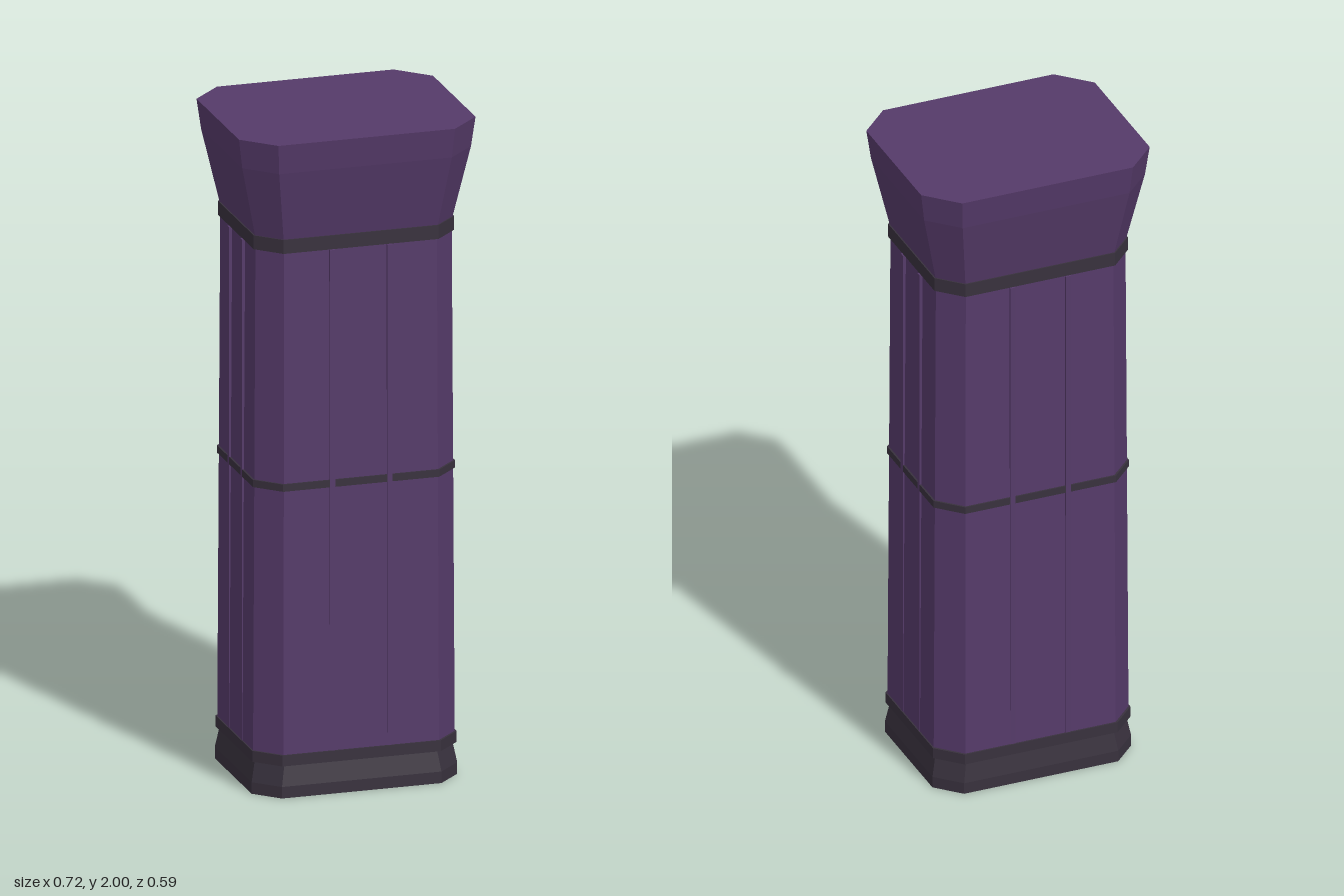
import * as THREE from 'three';

const purple = new THREE.MeshStandardMaterial({ color: 0x553a69 });
purple.name = 'purple stone';
const dark = new THREE.MeshStandardMaterial({ color: 0x38313d });
dark.name = 'dark trim';

// Corners of a chamfered rectangle, ordered counter-clockwise seen from above
function ring([y, hx, hz, c]) {
  return [
    [hx, hz - c], [hx, c - hz], [hx - c, -hz], [c - hx, -hz],
    [-hx, c - hz], [-hx, hz - c], [c - hx, hz], [hx - c, hz],
  ].map(([x, z]) => [x, y, z]);
}

// Capped solid through rings of [height, half width, half depth, chamfer]
function loft(name, material, sections) {
  const rings = sections.map(ring);
  const pos = [];
  const tri = (a, b, c) => pos.push(...a, ...b, ...c);
  for (let k = 0; k < rings.length - 1; k++) {
    const lo = rings[k], hi = rings[k + 1];
    for (let i = 0; i < 8; i++) {
      const j = (i + 1) % 8;
      tri(lo[i], lo[j], hi[j]);
      tri(lo[i], hi[j], hi[i]);
    }
  }
  const bottom = rings[0], top = rings[rings.length - 1];
  for (let i = 1; i < 7; i++) {
    tri(bottom[0], bottom[i + 1], bottom[i]);
    tri(top[0], top[i], top[i + 1]);
  }
  const geo = new THREE.BufferGeometry();
  geo.setAttribute('position', new THREE.Float32BufferAttribute(pos, 3));
  geo.computeVertexNormals();
  const mesh = new THREE.Mesh(geo, material);
  mesh.name = name;
  return mesh;
}

export function createModel() {
  const model = new THREE.Group();
  model.name = 'column';

  // Foot, shaft, collars and flared capital
  model.add(
    loft('base', dark, [[0, 0.312, 0.246, 0.07], [0.035, 0.312, 0.246, 0.07], [0.097, 0.3, 0.236, 0.068]]),
    loft('lowerCollar', dark, [[0.097, 0.31, 0.246, 0.07], [0.13, 0.31, 0.246, 0.07]]),
    loft('shaft', purple, [[0.13, 0.306, 0.241, 0.07], [1.655, 0.298, 0.234, 0.066]]),
    loft('middleBand', dark, [[0.93, 0.307, 0.242, 0.07], [0.952, 0.307, 0.242, 0.07]]),
    loft('upperCollar', dark, [[1.652, 0.304, 0.24, 0.069], [1.694, 0.304, 0.24, 0.069]]),
    loft('capital', purple, [
      [1.694, 0.3, 0.236, 0.066], [1.91, 0.347, 0.282, 0.085], [2, 0.359, 0.294, 0.091],
    ]),
  );

  // Slim upright ribs, two on each face, sinking into the shaft toward its foot
  const height = 1.52;
  for (const s of [-1, 1]) {
    for (const t of [-1, 1]) {
      const faceRib = new THREE.Mesh(new THREE.BoxGeometry(0.016, height, 0.02), purple);
      faceRib.position.set(t * 0.087, 0.89, s * 0.2325);
      const sideRib = new THREE.Mesh(new THREE.BoxGeometry(0.02, height, 0.016), purple);
      sideRib.position.set(s * 0.2975, 0.89, t * 0.062);
      faceRib.name = 'faceRib';
      sideRib.name = 'sideRib';
      model.add(faceRib, sideRib);
    }
  }
  return model;
}
